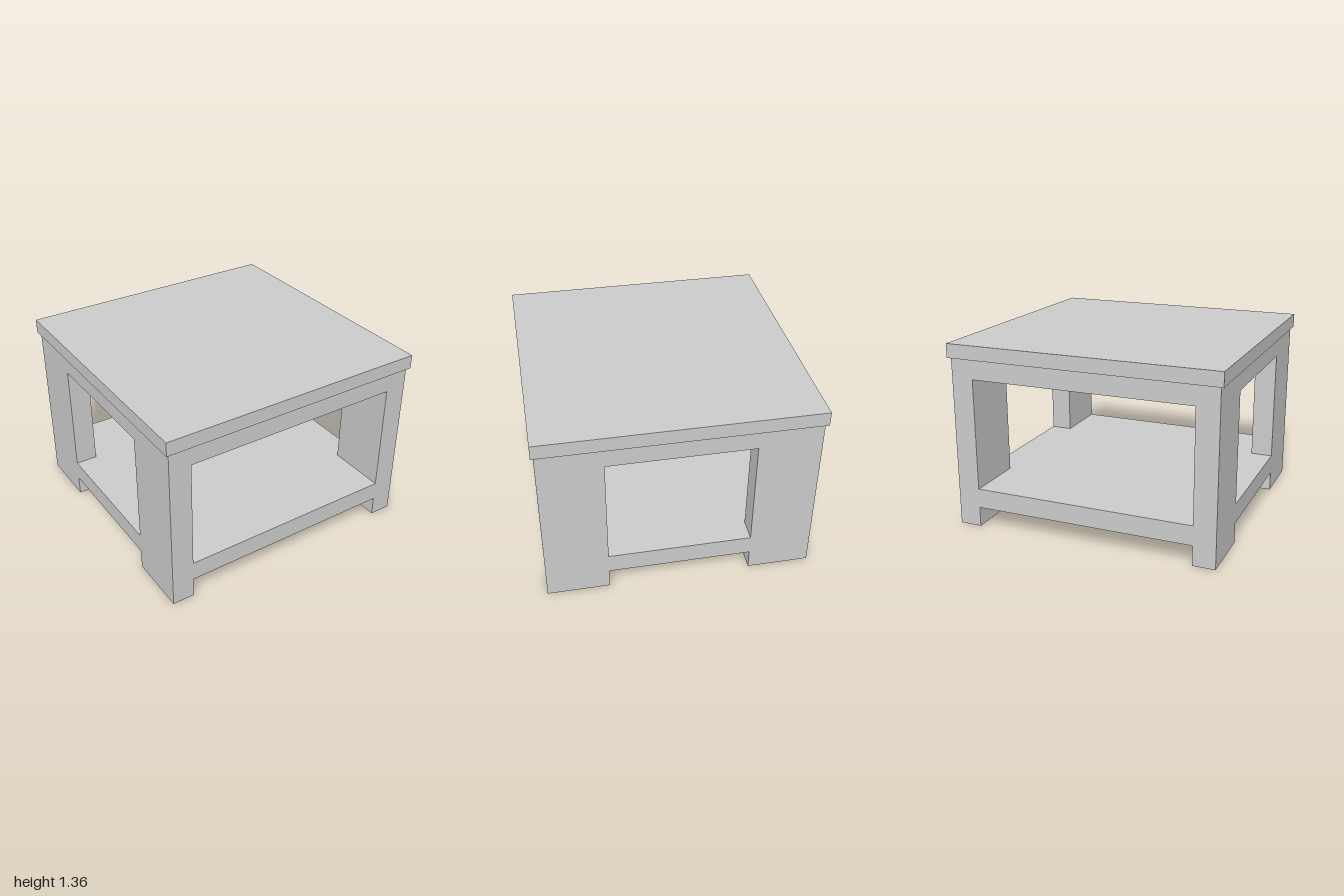
import * as THREE from 'three';

const material = new THREE.MeshStandardMaterial({ color: 0xcccccc, flatShading: true });

// outer and inner faces of the legs
const OUT_X = 0.978, IN_X = 0.815;
const OUT_Z = 0.964, IN_Z = 0.515;
const LEG_TOP = 1.252;

function addBox(parent, name, w, h, d, x, y, z) {
  const mesh = new THREE.Mesh(new THREE.BoxGeometry(w, h, d), material);
  mesh.name = name;
  mesh.position.set(x, y + h / 2, z);
  parent.add(mesh);
}

// slab notched at the four corners so it fits flush between the legs
function addNotchedSlab(parent, name, bottom, top) {
  const shape = new THREE.Shape([
    [IN_X, -OUT_Z], [IN_X, -IN_Z], [OUT_X, -IN_Z], [OUT_X, IN_Z], [IN_X, IN_Z], [IN_X, OUT_Z],
    [-IN_X, OUT_Z], [-IN_X, IN_Z], [-OUT_X, IN_Z], [-OUT_X, -IN_Z], [-IN_X, -IN_Z], [-IN_X, -OUT_Z],
  ].map(([x, z]) => new THREE.Vector2(x, z)));
  const geometry = new THREE.ExtrudeGeometry(shape, { depth: top - bottom, bevelEnabled: false });
  geometry.rotateX(-Math.PI / 2);
  const mesh = new THREE.Mesh(geometry, material);
  mesh.name = name;
  mesh.position.y = bottom;
  parent.add(mesh);
}

export function createModel() {
  const table = new THREE.Group();
  table.name = 'sideTable';

  // overhanging top
  addBox(table, 'tableTop', 2, 1.355 - LEG_TOP, 1.966, 0, LEG_TOP, 0);

  // upper frame and lower shelf
  addNotchedSlab(table, 'upperFrame', 1.108, LEG_TOP);
  addNotchedSlab(table, 'lowerShelf', 0.146, 0.29);

  // four wide plank legs
  for (const [zName, sz] of [['front', 1], ['back', -1]]) {
    for (const [xName, sx] of [['Left', 1], ['Right', -1]]) {
      addBox(table, `${zName}${xName}Leg`, OUT_X - IN_X, LEG_TOP, OUT_Z - IN_Z,
        sx * (OUT_X + IN_X) / 2, 0, sz * (OUT_Z + IN_Z) / 2);
    }
  }
  return table;
}
